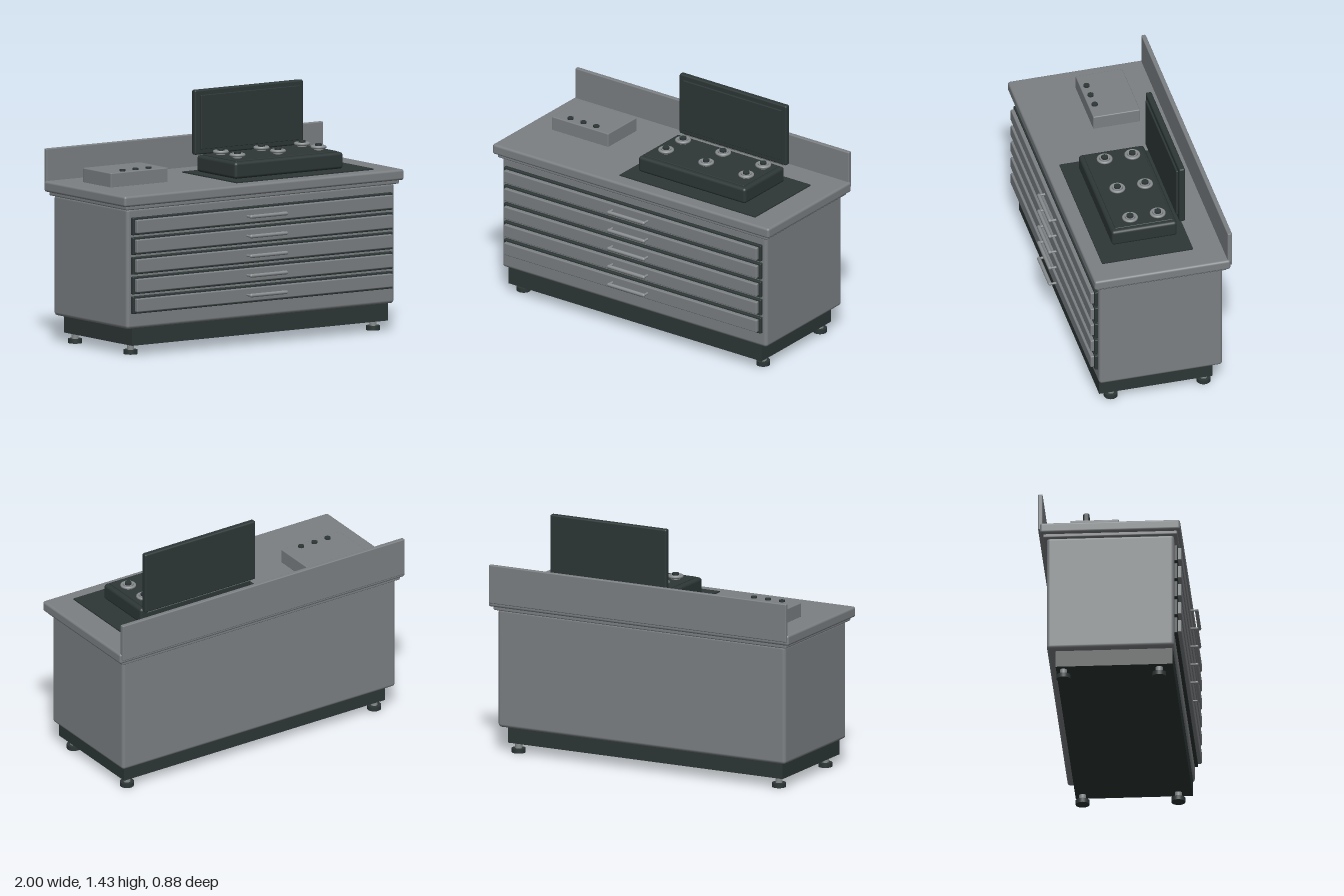
import * as THREE from 'three';
import { RoundedBoxGeometry } from 'three/addons/geometries/RoundedBoxGeometry.js';

const paint = (name, color) => {
  const m = new THREE.MeshStandardMaterial({ color });
  m.name = name;
  return m;
};

export function createModel() {
  const steel = paint('steel grey', 0x7c8083);
  const metal = paint('bright metal', 0x888c8e);
  const dark = paint('charcoal', 0x2d3736);

  const model = new THREE.Group();
  model.name = 'outdoorKitchenCabinet';

  const add = (parent, name, geometry, material, x = 0, y = 0, z = 0) => {
    const mesh = new THREE.Mesh(geometry, material);
    mesh.name = name;
    mesh.position.set(x, y, z);
    parent.add(mesh);
    return mesh;
  };
  // Box given by its extents; a radius rounds the edges
  const box = (parent, name, material, [x0, x1], [y0, y1], [z0, z1], radius = 0) => {
    const size = [x1 - x0, y1 - y0, z1 - z0];
    const geometry = radius
      ? new RoundedBoxGeometry(...size, 3, radius)
      : new THREE.BoxGeometry(...size);
    return add(parent, name, geometry, material, (x0 + x1) / 2, (y0 + y1) / 2, (z0 + z1) / 2);
  };
  // Upright cylinder standing on y0
  const disc = (parent, name, material, r, y0, y1, x = 0, z = 0, sides = 24) =>
    add(parent, name, new THREE.CylinderGeometry(r, r, y1 - y0, sides), material, x, (y0 + y1) / 2, z);
  const group = (name, x = 0, y = 0, z = 0) => {
    const g = new THREE.Group();
    g.name = name;
    g.position.set(x, y, z);
    model.add(g);
    return g;
  };

  // Cabinet, plinth and worktop
  box(model, 'cabinetBody', steel, [-0.957, 0.957], [0.16, 0.872], [-0.395, 0.35], 0.02);
  box(model, 'plinth', dark, [-0.915, 0.915], [0.06, 0.165], [-0.345, 0.34]);
  box(model, 'worktopTrim', steel, [-0.975, 0.975], [0.865, 0.895], [-0.415, 0.37], 0.008);
  box(model, 'worktop', steel, [-1, 1], [0.887, 0.95], [-0.432, 0.388], 0.014);
  box(model, 'backsplash', steel, [-0.99, 0.99], [0.91, 1.14], [-0.443, -0.416], 0.006);

  // Levelling feet
  for (const x of [-0.867, 0.867]) for (const z of [-0.302, 0.258]) {
    const foot = group('foot', x, 0, z);
    disc(foot, 'footPad', dark, 0.041, 0, 0.026);
    disc(foot, 'footStem', metal, 0.021, 0.026, 0.06);
  }

  // Five shallow drawers with bar handles
  for (let i = 0; i < 5; i++) {
    const drawer = group('drawer', 0, 0.766 - i * 0.116, 0);
    box(drawer, 'drawerSurround', dark, [-0.93, 0.93], [-0.051, 0.051], [0.34, 0.37], 0.005);
    box(drawer, 'drawerFront', steel, [-0.915, 0.915], [-0.039, 0.039], [0.36, 0.392], 0.006);
    const bar = add(drawer, 'handleBar', new THREE.CapsuleGeometry(0.011, 0.25, 6, 14), metal, 0, 0, 0.429);
    bar.rotation.z = Math.PI / 2;
    for (const x of [-0.127, 0.127]) {
      const post = add(drawer, 'handlePost', new THREE.CylinderGeometry(0.007, 0.007, 0.042, 12), metal, x, 0, 0.409);
      post.rotation.x = Math.PI / 2;
    }
  }

  // Low control box with three knobs
  box(model, 'controlBox', steel, [-0.84, -0.43], [0.945, 1.034], [-0.263, 0.02], 0.006);
  for (const x of [-0.73, -0.637, -0.544])
    disc(model, 'controlKnob', dark, 0.018, 1.034, 1.044, x, -0.018);

  // Cooktop standing on a protective mat
  box(model, 'mat', dark, [-0.14, 0.84], [0.95, 0.957], [-0.247, 0.302]);
  box(model, 'cooktopBody', dark, [-0.08, 0.695], [0.957, 1.055], [-0.19, 0.204], 0.018);
  box(model, 'cooktopPlate', dark, [-0.052, 0.667], [1.05, 1.061], [-0.17, 0.178], 0.004);

  // Six burners
  for (const x of [0.028, 0.318, 0.608]) for (const z of [-0.094, 0.073]) {
    const burner = group('burner', x, 0, z);
    disc(burner, 'burnerBase', metal, 0.028, 1.06, 1.085);
    const ring = add(burner, 'burnerRing', new THREE.TorusGeometry(0.038, 0.009, 10, 28), metal, 0, 1.078, 0);
    ring.rotation.x = Math.PI / 2;
    disc(burner, 'burnerCap', dark, 0.02, 1.085, 1.097);
  }

  // Raised lid with its inner panel and hinge rod
  box(model, 'lid', dark, [-0.08, 0.695], [1.053, 1.435], [-0.238, -0.202], 0.01);
  box(model, 'lidInnerPanel', dark, [-0.045, 0.662], [1.085, 1.404], [-0.21, -0.191], 0.003);
  const hinge = add(model, 'lidHinge', new THREE.CylinderGeometry(0.01, 0.01, 0.72, 14), metal, 0.308, 1.053, -0.22);
  hinge.rotation.z = Math.PI / 2;

  return model;
}
